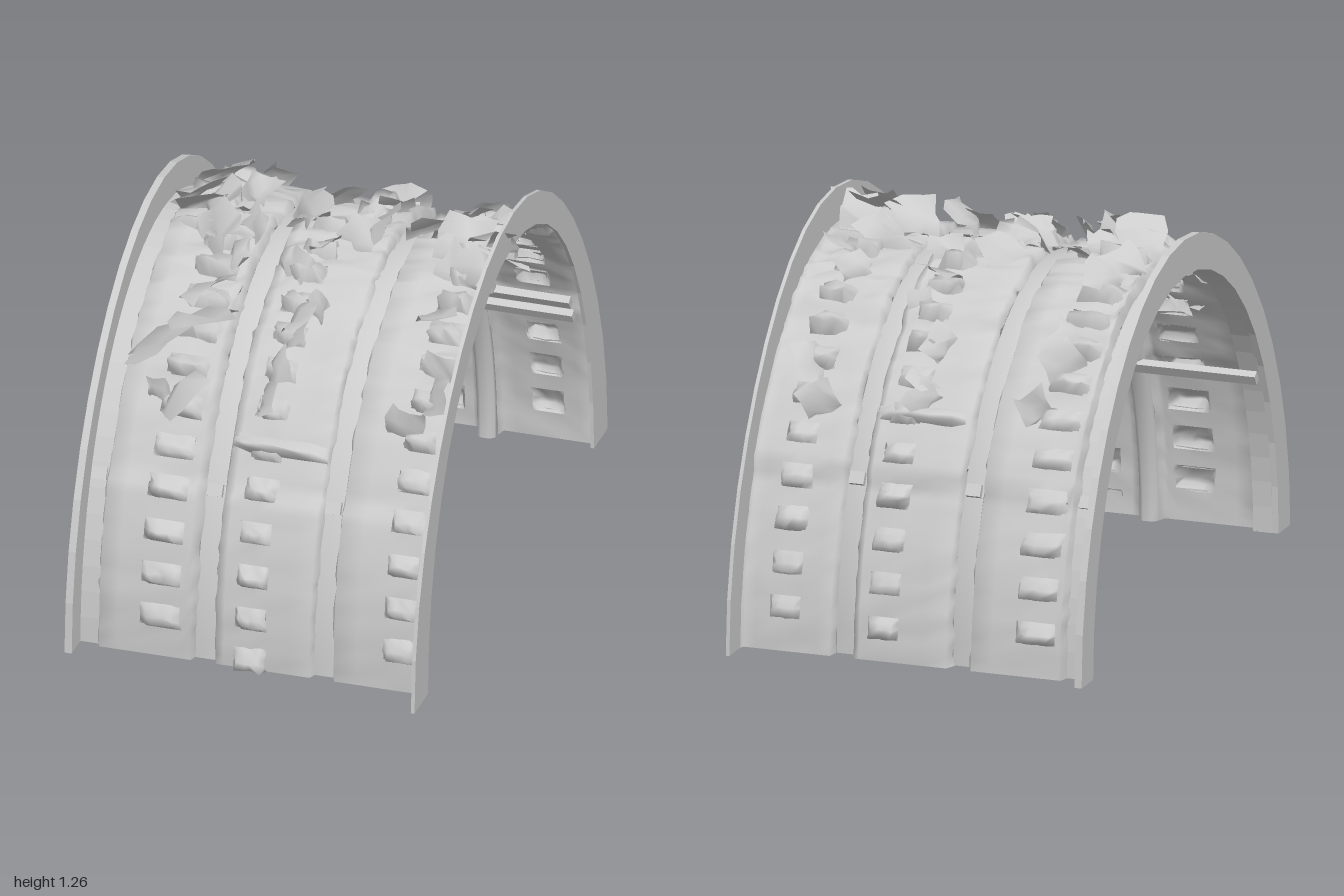
import * as THREE from 'three';

const A = 0.872, B = 1.13; // half width and height of the shell's arch
const ROWS = 25, SUB = 4, STEP = Math.PI / ROWS;

let seed = 11;
const rnd = () => {
  seed = (seed * 16807) % 2147483647;
  return seed / 2147483647;
};
const jit = (s) => (rnd() - 0.5) * 2 * s;

const smooth = new THREE.MeshStandardMaterial({ color: 0xcccccc, side: THREE.DoubleSide });
const flat = new THREE.MeshStandardMaterial({ color: 0xcccccc, side: THREE.DoubleSide, flatShading: true });

// point on the arch: t runs from the front foot (0) over the crown to the back foot (PI)
const onArch = (x, t, off = 0) => [x, Math.max(0, (B + off) * Math.sin(t)), (A + off) * Math.cos(t)];
// 0 at the feet, 1 at the crown
const crown = (t) => Math.max(0, Math.sin(t) - 0.6) / 0.4;

function addMesh(parent, name, geometry, material) {
  const mesh = new THREE.Mesh(geometry, material);
  mesh.name = name;
  parent.add(mesh);
  return mesh;
}

// grid surface with optional missing cells
function surface(nu, nv, point, skip = () => false) {
  const pos = [], idx = [];
  for (let j = 0; j <= nv; j++) for (let i = 0; i <= nu; i++) pos.push(...point(i, j));
  for (let j = 0; j < nv; j++) for (let i = 0; i < nu; i++) {
    if (skip(i, j)) continue;
    const a = j * (nu + 1) + i, b = a + 1, c = a + nu + 1, d = c + 1;
    idx.push(a, b, d, a, d, c);
  }
  const g = new THREE.BufferGeometry();
  g.setAttribute('position', new THREE.Float32BufferAttribute(pos, 3));
  g.setIndex(idx);
  g.computeVertexNormals();
  return g;
}

// flat arch plate standing across x, its outer edge slightly flattened at the haunches
function archPlate(x0, x1, a, b, ai, bi, lean, squash, n = 22) {
  const pts = [];
  const edge = (t, ra, rb, k) => {
    const f = 1 - k * Math.sin(2 * t) ** 2;
    pts.push(new THREE.Vector2(ra * f * Math.cos(t) - lean * Math.sin(t) ** 4, rb * f * Math.sin(t)));
  };
  for (let i = 0; i <= n; i++) edge((i / n) * Math.PI, a, b, squash);
  for (let i = n; i >= 0; i--) edge((i / n) * Math.PI, ai, bi, 0);
  const g = new THREE.ExtrudeGeometry(new THREE.Shape(pts), { depth: x1 - x0, bevelEnabled: false });
  g.translate(0, 0, -x1);
  g.rotateY(-Math.PI / 2); // shape x becomes z, depth becomes -x
  return g;
}

// rib: flat on the outside, rounded on the inside
function rib(x) {
  const section = [[-0.032, -0.024], [0.032, -0.024], [0.029, -0.038], [0.015, -0.05],
    [-0.015, -0.05], [-0.029, -0.038], [-0.032, -0.024]];
  return surface(6, 48, (i, j) => onArch(x + section[i][0], (j / 48) * Math.PI, section[i][1]));
}

// half of a panel, pierced by a column of openings
function panelHalf({ x0, x1, half, endOff }, hole, t0, phase) {
  const cols = [x0, x0 + 0.012, (x0 + hole - half) / 2, hole - half, hole, hole + half,
    (x1 + hole + half) / 2, x1 - 0.012, x1];
  const n = Math.round(ROWS * SUB / 2), last = cols.length - 1;
  return surface(last, n, (i, j) => {
    const t = t0 + (j / n) * Math.PI / 2;
    const edge = i === 0 ? -0.035 : i === last ? endOff : 0;
    const lap = 0.018 * ((j % 17) / 17); // overlapping plates
    const dent = j === 0 || j === n ? 0 : jit(0.003 + 0.011 * crown(t));
    return onArch(cols[i] + (edge < 0 ? jit(0.006) : 0), t, edge + lap + dent);
  }, (i, j) => (i === 3 || i === 4) && j > 1 && j < n - 2 && (j + phase) % SUB < 2);
}

// pushed-out blister closing an opening, its lower lip crumpled
function blister(x, t, w, h, lift, crumple) {
  const nu = 5, nv = 4, up = t < Math.PI / 2 ? 1 : -1;
  return surface(nu, nv, (i, j) => {
    const u = i / nu - 0.5, v = j / nv;
    if (i === 0 || i === nu || j === 0 || j === nv) {
      return onArch(x + u * w + jit(0.006), t + up * (0.5 - v) * h, 0.002);
    }
    return onArch(x + u * w * 1.15 + jit(crumple), t + up * (0.45 - v) * h + jit(crumple * 0.5),
      lift * (0.35 + v) + jit(crumple * 0.7));
  });
}

// curled scrap standing off the surface
function scrap(x, t, size) {
  const twist = rnd() * Math.PI;
  return surface(3, 3, (i, j) => {
    const u = (i / 3 - 0.5) * size, v = j / 3;
    const lean = (v * v - 0.4) * size * 0.6;
    return onArch(x + u * Math.cos(twist) + lean * Math.sin(twist) + jit(size * 0.12),
      t + u * Math.sin(twist) - lean * Math.cos(twist) + jit(size * 0.1),
      v * size * 0.65 + jit(size * 0.1));
  });
}

export function createModel() {
  const model = new THREE.Group();
  model.name = 'damagedTunnelSection';

  // end flanges
  addMesh(model, 'leftEndFlange', archPlate(0.572, 0.584, 1.0, 1.265, 0.86, 1.15, 0.03, 0.027), flat);
  addMesh(model, 'rightEndFlange', archPlate(-0.59, -0.566, 0.945, 1.21, 0.84, 1.09, 0.015, 0.015), flat);
  addMesh(model, 'rightFlangeSeat', archPlate(-0.57, -0.505, 0.855, 1.108, 0.838, 1.085, 0, 0, 40), flat);

  // ribs between the panels
  addMesh(model, 'rightRib', rib(-0.155), smooth);
  addMesh(model, 'leftRib', rib(0.236), smooth);

  // long inner beams, and clamps holding them at the ribs
  for (const t of [0.53, 1.43, 1.71, Math.PI - 0.6, Math.PI - 0.53]) {
    const beam = addMesh(model, 'innerBeam', new THREE.BoxGeometry(1.13, 0.036, 0.026), flat);
    beam.position.set(...onArch(0, t, -0.05));
    beam.rotation.x = -t;
  }
  for (const t of [0.515, Math.PI - 0.515]) for (const x of [-0.537, -0.155, 0.236]) {
    const clamp = addMesh(model, 'clamp', new THREE.BoxGeometry(0.05, 0.04, 0.02), flat);
    clamp.position.set(...onArch(x, t, -0.018));
    clamp.rotation.x = -t;
  }

  // panels: extent, opening centre at front and back, opening half width, row phase, last edge's offset
  const panels = [
    { name: 'rightPanel', x0: -0.51, x1: -0.185, front: -0.3, back: -0.41, half: 0.065, phase: 1, wild: 1.5, endOff: -0.035 },
    { name: 'middlePanel', x0: -0.125, x1: 0.208, front: 0.0, back: 0.1, half: 0.05, phase: 0, wild: 1, endOff: -0.035 },
    { name: 'leftPanel', x0: 0.265, x1: 0.577, front: 0.49, back: 0.43, half: 0.05, phase: 1, wild: 1.1, endOff: 0.022 },
  ];
  for (const p of panels) {
    const group = new THREE.Group();
    group.name = p.name;
    model.add(group);
    addMesh(group, 'frontSheet', panelHalf(p, p.front, 0, p.phase), smooth);
    addMesh(group, 'backSheet', panelHalf(p, p.back, Math.PI / 2, p.phase + 2), smooth);
    const within = (x) => THREE.MathUtils.clamp(x, p.x0 + 0.06, p.x1 - 0.06);

    // blister over each opening, wilder towards the crown
    for (let r = 0; r < ROWS; r++) {
      const t = (r + (p.phase ? 1 : 0.25)) * STEP;
      if (t > Math.PI - 0.05) continue;
      const k = crown(t), x = t < Math.PI / 2 ? p.front : p.back;
      addMesh(group, 'blister', blister(x, t, p.half * (2.1 + 0.2 * k), 0.075 + 0.02 * k,
        0.02 + rnd() * 0.025 + 0.02 * k, 0.008 + 0.012 * k * p.wild), smooth);
      if (k > 0.15 && rnd() < 0.75) {
        addMesh(group, 'scrap', scrap(within(x + jit(0.07 * p.wild)), t + jit(0.04),
          0.08 + 0.05 * rnd() * p.wild), smooth);
      }
    }

    // scraps heaped along the crown
    for (let i = 0; i < 6; i++) {
      if (p.name === 'middlePanel' && (i === 2 || i === 3)) continue;
      const x = p.x0 + 0.05 + (p.x1 - p.x0 - 0.1) * (i / 5);
      addMesh(group, 'crownScrap', scrap(x, Math.PI / 2 + jit(0.2), 0.12 + 0.05 * rnd()), smooth);
    }
  }

  // larger torn sheets on the front haunch
  for (const [x, t, size] of [[-0.4, 0.92, 0.2], [-0.28, 1.02, 0.2], [-0.3, 0.78, 0.16], [0.02, 1.08, 0.13]]) {
    addMesh(model, 'tornSheet', scrap(x, t, size), smooth);
  }

  // buckled lips across the panels
  for (const [x, t] of [[0.045, 0.67], [0.045, 2.42], [-0.35, 1.45], [0.42, 1.7]]) {
    addMesh(model, 'buckledLip', blister(x, t, 0.31, 0.06, 0.04, 0.01), smooth);
  }
  return model;
}
